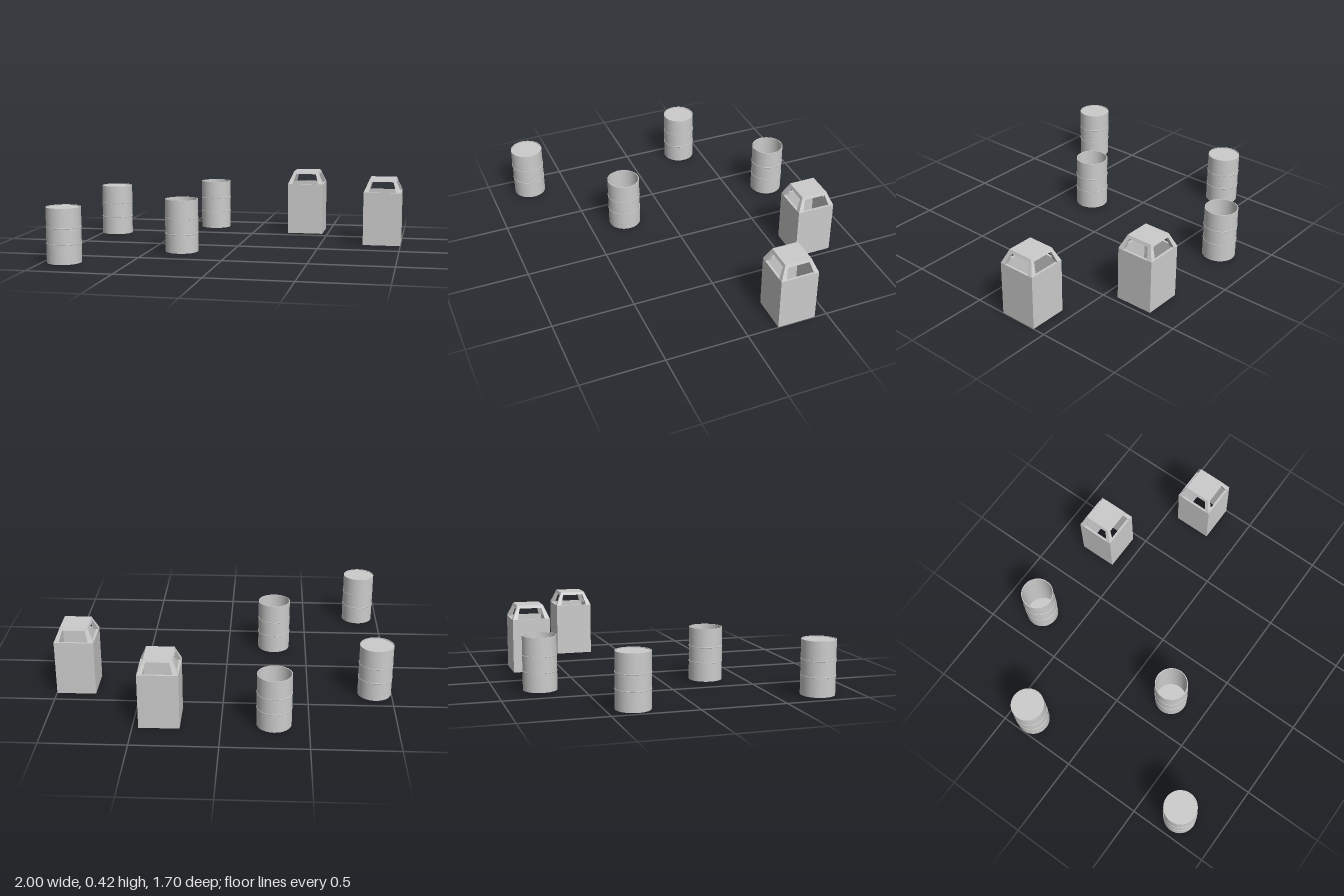
import * as THREE from 'three';
import { toCreasedNormals } from 'three/addons/utils/BufferGeometryUtils.js';

const material = new THREE.MeshStandardMaterial({ color: 0xcccccc });

function addMesh(parent, name, geometry, y = 0) {
  const mesh = new THREE.Mesh(geometry, material);
  mesh.name = name;
  mesh.position.y = y;
  parent.add(mesh);
  return mesh;
}

// Box whose square section runs from lo..hi at its base to lo..hi at its top
function taperedBox(y0, [lo0, hi0], y1, [lo1, hi1]) {
  const geometry = new THREE.BoxGeometry(1, 1, 1);
  const p = geometry.attributes.position;
  for (let i = 0; i < p.count; i++) {
    const top = p.getY(i) > 0;
    const lo = top ? lo1 : lo0, hi = top ? hi1 : hi0;
    p.setXYZ(i, p.getX(i) > 0 ? hi : lo, top ? y1 : y0, p.getZ(i) > 0 ? hi : lo);
  }
  geometry.computeVertexNormals();
  return geometry;
}

function square(path, h) {
  path.moveTo(-h, -h);
  path.lineTo(h, -h);
  path.lineTo(h, h);
  path.lineTo(-h, h);
  path.closePath();
  return path;
}

// Thin-walled drum with two hoops and an optional recessed lid
function createBarrel(closed) {
  const barrel = new THREE.Group();
  barrel.name = closed ? 'closedBarrel' : 'openBarrel';
  const bottom = 0.007, top = 0.327, radius = 0.1, inner = 0.095;
  const profile = [
    [0, bottom], [radius, bottom], [radius, top],
    [inner, top], [inner, bottom + 0.005], [0, bottom + 0.005],
  ].map(([x, y]) => new THREE.Vector2(x, y));
  addMesh(barrel, 'barrelShell', toCreasedNormals(new THREE.LatheGeometry(profile, 32), 0.6));
  for (const y of [0.12, 0.213]) {
    const hoop = new THREE.TorusGeometry(radius, 0.0027, 6, 32).rotateX(Math.PI / 2);
    addMesh(barrel, 'barrelHoop', hoop, y);
  }
  if (closed) addMesh(barrel, 'barrelLid', new THREE.CylinderGeometry(inner, inner, 0.005, 32), 0.32);
  return barrel;
}

// Square bin, open at both ends, with a small roof on four leaning posts
function createBin() {
  const bin = new THREE.Group();
  bin.name = 'litterBin';
  const half = 0.117, rim = 0.333, eave = 0.399, top = 0.417;

  const section = square(new THREE.Shape(), half);
  section.holes.push(square(new THREE.Path(), half - 0.014));
  const walls = new THREE.ExtrudeGeometry(section, { depth: rim, bevelEnabled: false });
  addMesh(bin, 'binWalls', walls.rotateX(-Math.PI / 2));

  for (let i = 0; i < 4; i++) {
    const post = addMesh(bin, 'roofPost', taperedBox(rim, [0.086, half], eave, [0.067, 0.088]));
    post.rotation.y = i * Math.PI / 2;
  }
  addMesh(bin, 'binRoof', taperedBox(eave, [-0.088, 0.088], top, [-0.081, 0.081]));
  return bin;
}

export function createModel() {
  const model = new THREE.Group();
  model.name = 'barrelsAndBins';
  const place = (object, x, z) => {
    object.position.set(x, 0, z);
    model.add(object);
  };

  place(createBarrel(false), -0.3, -0.745);
  place(createBarrel(true), -0.897, -0.352);
  place(createBarrel(false), -0.293, 0.272);
  place(createBarrel(true), -0.866, 0.745);

  place(createBin(), 0.348, -0.695);
  place(createBin(), 0.882, -0.307);
  return model;
}
